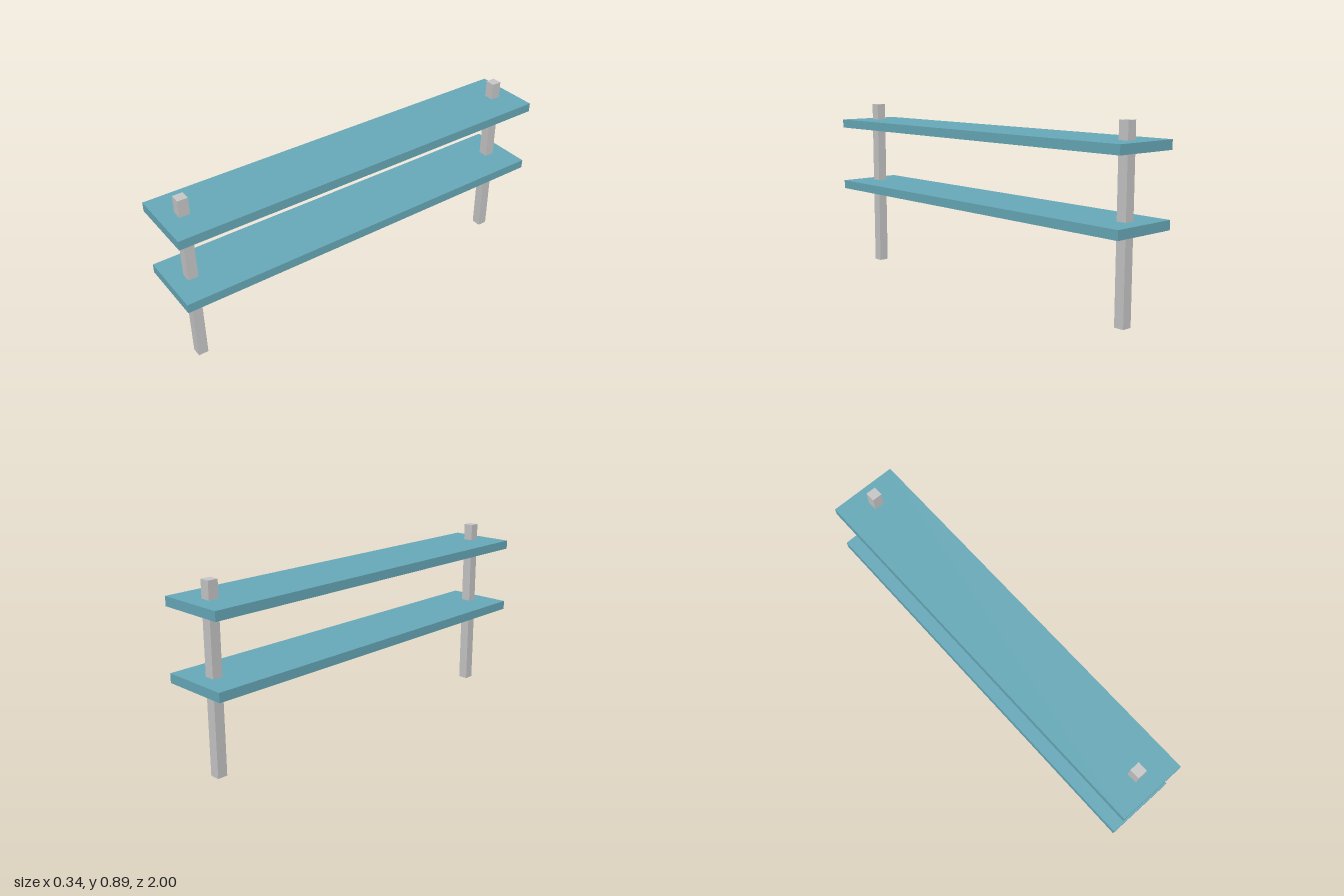
import * as THREE from 'three';

export function createModel() {
  const model = new THREE.Group();
  model.name = 'twoTierShelf';

  const teal = new THREE.MeshStandardMaterial({ color: 0x68aaba });
  teal.name = 'teal board';
  const grey = new THREE.MeshStandardMaterial({ color: 0xc8c8c8 });
  grey.name = 'light grey post';

  function addBox(name, size, position, material) {
    const mesh = new THREE.Mesh(new THREE.BoxGeometry(...size), material);
    mesh.name = name;
    mesh.position.set(...position);
    model.add(mesh);
  }

  // Two long boards, pierced by the posts
  addBox('lowerShelf', [0.343, 0.045, 2], [0, 0.443, 0], teal);
  addBox('upperShelf', [0.343, 0.045, 2], [0, 0.788, 0], teal);

  // Square posts near each end
  const height = 0.895;
  for (const [name, z] of [['frontPost', 0.895], ['backPost', -0.895]]) {
    addBox(name, [0.05, height, 0.05], [0, height / 2, z], grey);
  }

  return model;
}
